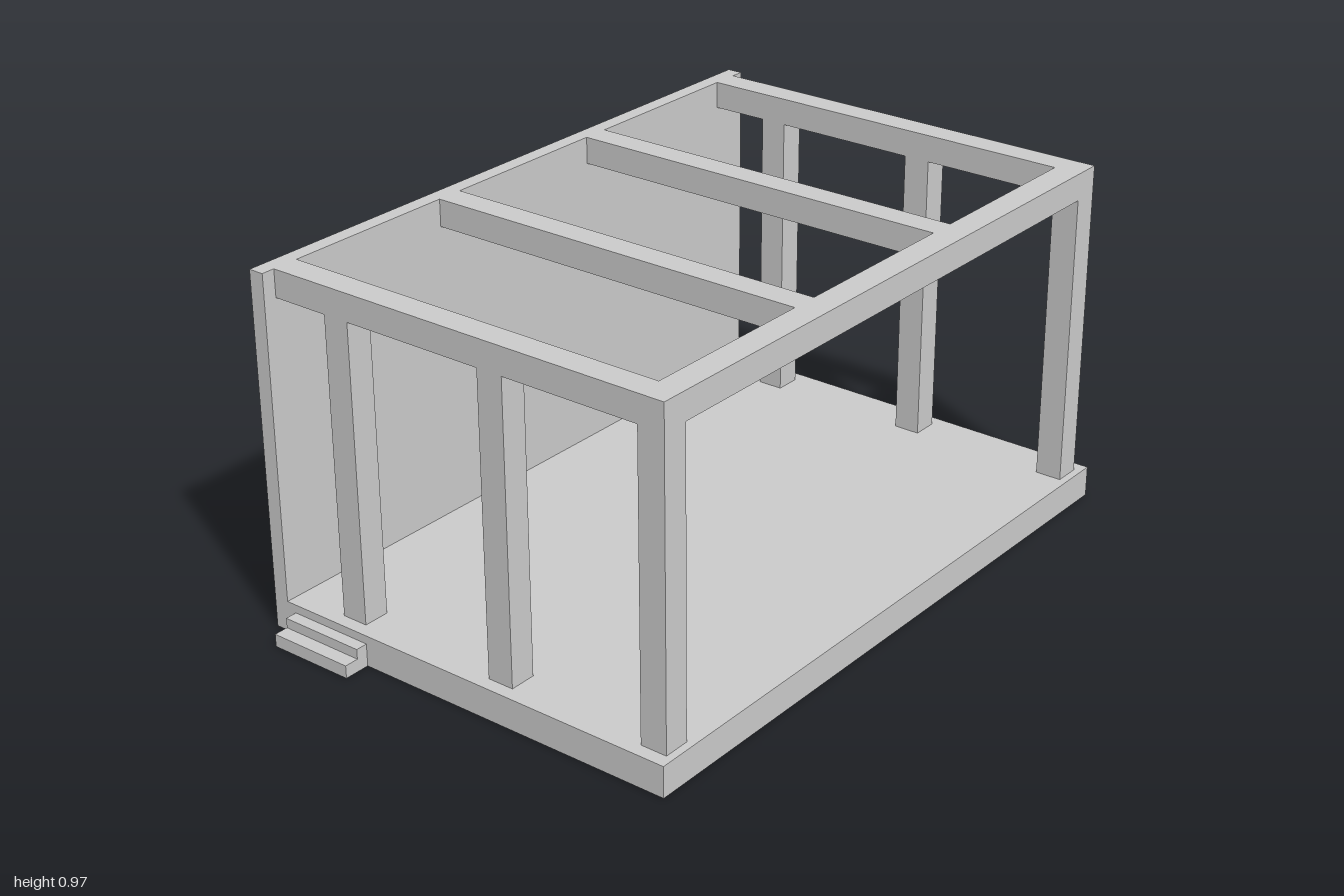
import * as THREE from 'three';

const material = new THREE.MeshStandardMaterial({ color: 0xcccccc, flatShading: true });

// Box given by its minimum and maximum on each axis
function block(name, [x0, x1], [y0, y1], [z0, z1]) {
  const mesh = new THREE.Mesh(new THREE.BoxGeometry(x1 - x0, y1 - y0, z1 - z0), material);
  mesh.name = name;
  mesh.position.set((x0 + x1) / 2, (y0 + y1) / 2, (z0 + z1) / 2);
  return mesh;
}

// Two-tread step, extruded along z; side is +1 or -1
function sideStep(side) {
  const points = [[0.925, 0], [1, 0], [1, 0.035], [0.96, 0.035], [0.96, 0.062], [0.925, 0.062]];
  const shape = new THREE.Shape(points.map(([x, y]) => new THREE.Vector2(side * x, y)));
  const geometry = new THREE.ExtrudeGeometry(shape, { depth: 0.243, bevelEnabled: false });
  const mesh = new THREE.Mesh(geometry, material);
  mesh.name = side > 0 ? 'leftStep' : 'rightStep';
  mesh.position.z = -0.548;
  return mesh;
}

export function createModel() {
  const group = new THREE.Group();
  group.name = 'pavilion';

  const halfWidth = 0.927, depth = 0.618;
  const floorTop = 0.085, beamBottom = 0.893, top = 0.967;
  const wallFront = -0.575, frameFront = 0.597, beam = 0.074, frameX = 0.89;

  // Floor slab and solid back wall
  group.add(block('floor', [-halfWidth, halfWidth], [0, floorTop], [-depth, depth]));
  group.add(block('backWall', [-halfWidth, halfWidth], [floorTop, top], [-depth, wallFront]));

  // Roof frame: front beam and four rafters running back to the wall
  const beamY = [beamBottom, top];
  group.add(block('frontBeam', [-frameX, frameX], beamY, [frameFront - beam, frameFront]));
  for (const x of [-0.853, -0.285, 0.285, 0.853]) {
    group.add(block('rafter', [x - beam / 2, x + beam / 2], beamY, [wallFront, frameFront - beam]));
  }

  // Three posts and a step on each side
  for (const side of [-1, 1]) {
    const x = side * (frameX - beam / 2);
    for (const z of [0.56, 0.099, -0.378]) {
      group.add(block('post', [x - beam / 2, x + beam / 2], [floorTop, beamBottom], [z - beam / 2, z + beam / 2]));
    }
    group.add(sideStep(side));
  }

  return group;
}
